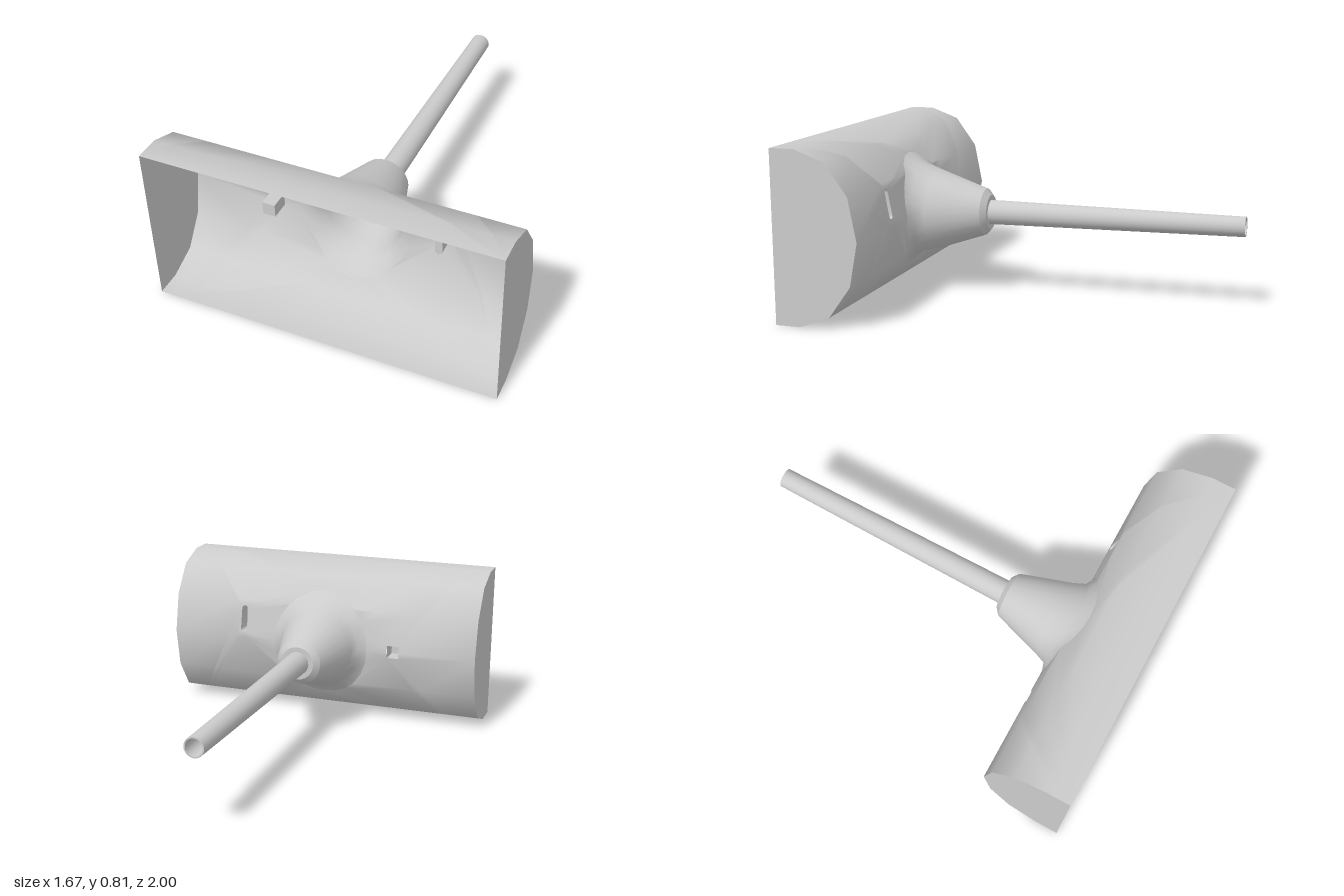
import * as THREE from 'three';
import { mergeVertices, toCreasedNormals } from 'three/addons/utils/BufferGeometryUtils.js';

const MID = 0.405, HALF = 0.835, POCKET_Z = 0.69;
const material = new THREE.MeshStandardMaterial({ color: 0xcccccc, side: THREE.DoubleSide });

// Trough cross-section as (z, y): straight lips joined by a half ellipse in 30 degree steps
const profile = [[1, 0]];
for (let i = 0; i <= 6; i++) {
  const a = -Math.PI / 2 + i * Math.PI / 6;
  profile.push([0.88 - 0.29 * Math.cos(a), MID + MID * Math.sin(a)]);
}
profile.push([1, 2 * MID]);

// Running length along the cross-section, used to unroll it flat
const run = [0];
for (let i = 1; i < profile.length; i++) {
  run.push(run[i - 1] + Math.hypot(profile[i][0] - profile[i - 1][0], profile[i][1] - profile[i - 1][1]));
}
const lerp = THREE.MathUtils.lerp;

// Height on the curved wall -> running length and z
function onWall(y) {
  let i = 1;
  while (i < 6 && y > profile[i + 1][1]) i++;
  const t = (y - profile[i][1]) / (profile[i + 1][1] - profile[i][1]);
  return { s: lerp(run[i], run[i + 1], t), z: lerp(profile[i][0], profile[i + 1][0], t) };
}

// Cuts a polygon of [x, s] points along a line of constant s
function clip(poly, s, sign) {
  const out = [];
  poly.forEach((a, i) => {
    const b = poly[(i + 1) % poly.length];
    const da = (a[1] - s) * sign, db = (b[1] - s) * sign;
    if (da >= 0) out.push(a);
    if (da * db < 0) out.push([lerp(a[0], b[0], da / (da - db)), s]);
  });
  return out;
}

// Wall: flat sheet with holes, sliced at each bend and rolled up
function wallGeometry(outlines) {
  const end = run[run.length - 1];
  const sheet = new THREE.Shape([[-HALF, 0], [HALF, 0], [HALF, end], [-HALF, end]].map(p => new THREE.Vector2(...p)));
  sheet.holes = outlines.map(o => new THREE.Path(o.map(([x, y]) => new THREE.Vector2(x, onWall(y).s))));
  const flat = new THREE.ShapeGeometry(sheet).toNonIndexed().attributes.position;
  const verts = [];
  for (let f = 0; f < flat.count; f += 3) {
    const tri = [0, 1, 2].map(k => [flat.getX(f + k), flat.getY(f + k)]);
    for (let i = 0; i < run.length - 1; i++) {
      const part = clip(clip(tri, run[i], 1), run[i + 1], -1);
      const rolled = part.map(([x, s]) => {
        const t = (s - run[i]) / (run[i + 1] - run[i]);
        return [x, lerp(profile[i][1], profile[i + 1][1], t), lerp(profile[i][0], profile[i + 1][0], t)];
      });
      for (let k = 1; k < rolled.length - 1; k++) verts.push(...rolled[0], ...rolled[k + 1], ...rolled[k]);
    }
  }
  const g = new THREE.BufferGeometry();
  g.setAttribute('position', new THREE.Float32BufferAttribute(verts, 3));
  const merged = mergeVertices(g, 1e-5);
  merged.computeVertexNormals();
  return merged;
}

// Skin over closed rings that have equal numbers of points
function loft(rings) {
  const n = rings[0].length, index = [];
  for (let r = 0; r < rings.length - 1; r++) {
    for (let i = 0; i < n; i++) {
      const a = r * n + i, b = r * n + (i + 1) % n;
      index.push(a, a + n, b, b, a + n, b + n);
    }
  }
  const g = new THREE.BufferGeometry();
  g.setAttribute('position', new THREE.Float32BufferAttribute(rings.flat(2), 3));
  g.setIndex(index);
  g.computeVertexNormals();
  return g;
}

function ring(fn, n = 24) {
  return Array.from({ length: n }, (_, i) => {
    const a = -i / n * Math.PI * 2;
    return fn(Math.cos(a), Math.sin(a));
  });
}

// Turned part along the rod axis, from (radius, z) pairs
function turned(points, sides) {
  const g = new THREE.LatheGeometry(points.map(([r, z]) => new THREE.Vector2(r, -z)), sides);
  g.rotateX(-Math.PI / 2).translate(0, MID, 0);
  return toCreasedNormals(g, 0.5);
}

export function createModel() {
  const model = new THREE.Group();
  const add = (name, geometry, parent = model) => {
    const mesh = new THREE.Mesh(geometry, material);
    mesh.name = name;
    parent.add(mesh);
    return mesh;
  };

  // Outlines of the three wall openings, as [x, y]
  const collarBase = ring((c, s) => [0.26 * c, MID + 0.28 * s]);
  const square = [[-0.433, 0.375], [-0.433, 0.44], [-0.37, 0.44], [-0.37, 0.375]];
  const slot = [];
  for (let i = 0; i <= 8; i++) {
    const a = i / 8 * Math.PI;
    slot.push([0.435 + 0.017 * Math.cos(a), 0.558 + 0.017 * Math.sin(a)]);
  }
  slot.push(...slot.map(([x, y]) => [0.87 - x, 1.01 - y]));

  // Trough wall and flat ends
  add('troughWall', wallGeometry([collarBase, square, slot]));
  const endShape = new THREE.Shape(profile.map(([z, y]) => new THREE.Vector2(-z, y)));
  for (const [name, side] of [['leftEnd', 1], ['rightEnd', -1]]) {
    const end = add(name, new THREE.ShapeGeometry(endShape));
    end.rotation.y = Math.PI / 2;
    end.position.x = side * HALF;
  }

  // Pockets sunk into the wall from the back
  for (const [name, outline] of [['squarePocket', square], ['slotPocket', slot]]) {
    const pocket = new THREE.Group();
    pocket.name = name;
    model.add(pocket);
    const sides = loft([outline.map(([x, y]) => [x, y, onWall(y).z]), outline.map(([x, y]) => [x, y, POCKET_Z])]);
    add(name + 'Sides', toCreasedNormals(sides, 0.6), pocket);
    const floor = new THREE.ShapeGeometry(new THREE.Shape(outline.map(p => new THREE.Vector2(...p))));
    add(name + 'Floor', floor.translate(0, 0, POCKET_Z), pocket);
  }

  // Conical collar flaring into the wall, with a bevelled nose around the rod
  add('collar', loft([
    collarBase.map(([x, y]) => [x, y, onWall(y).z]),
    ring((c, s) => [0.215 * c, MID + (s > 0 ? 0.235 : 0.215) * s, 0.575 + 0.045 * s * s]),
    ring((c, s) => [0.195 * c, MID + 0.195 * s, 0.53 - 0.02 * s * s]),
    ring((c, s) => [0.115 * c, MID + 0.115 * s, 0.275]),
  ]));
  add('collarNose', turned([[0.115, 0.275], [0.085, 0.25], [0.055, 0.25]], 24));

  // Tapered rod, hollow at the back and closed inside the collar
  add('rod', turned([
    [0, 0.5], [0.042, 0.5], [0.055, 0.48], [0.06, 0.25], [0.048, -1], [0.041, -1], [0.041, 0.45], [0, 0.45],
  ], 20));
  return model;
}
